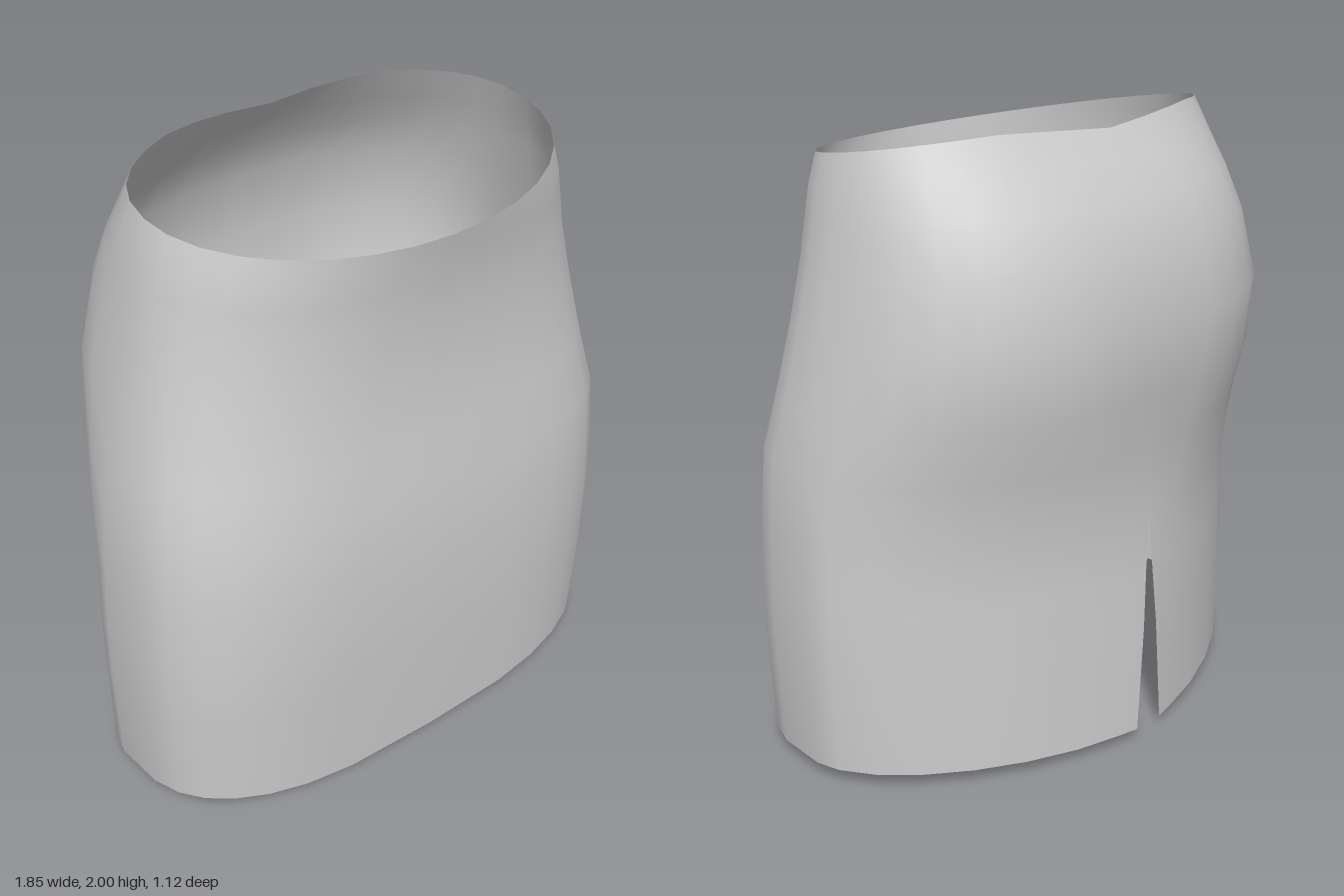
import * as THREE from 'three';
import { mergeVertices } from 'three/addons/utils/BufferGeometryUtils.js';

const COLUMNS = 32;
const SLIT_TOP = 0.8;

// Cross-sections from waist to hem:
// y, tilt, half width, front z, back z, z of widest point, front roundness, back roundness, back centre dent
const SECTIONS = [
  [1.955, 0.16, 0.70, 0.55, -0.31, 0.08, 2.0, 2.25, 0],
  [1.85, 0.10, 0.73, 0.535, -0.375, 0.08, 2.1, 2.35, 0],
  [1.76, 0.06, 0.75, 0.525, -0.445, 0.075, 2.15, 2.4, 0],
  [1.63, 0.03, 0.775, 0.51, -0.515, 0.07, 2.25, 2.45, 0],
  [1.42, 0, 0.82, 0.505, -0.56, 0.06, 2.5, 2.45, 0.005],
  [1.2, 0, 0.865, 0.52, -0.55, 0.06, 2.8, 2.15, 0.02],
  [1.02, 0, 0.90, 0.545, -0.525, 0.06, 3.1, 1.85, 0.03],
  [SLIT_TOP, 0, 0.915, 0.56, -0.50, 0.06, 3.15, 1.7, 0],
  [0.6, 0, 0.925, 0.56, -0.505, 0.06, 3.2, 1.65, 0],
  [0.4, 0, 0.925, 0.56, -0.515, 0.06, 3.2, 1.65, 0],
  [0.055, 0, 0.915, 0.54, -0.52, 0.06, 3.2, 1.65, 0],
];

const power = (v, e) => Math.sign(v) * Math.abs(v) ** e;

// One point on a section; the loop starts and ends at the back centre
function sectionPoint(row, col) {
  const [y, tilt, w, front, back, mid, nFront, nBack, dent] = SECTIONS[row];
  const a = (col / COLUMNS) * Math.PI * 2;
  const s = col % (COLUMNS / 2) === 0 ? 0 : Math.sin(a);
  const c = -Math.cos(a);
  const e = 2 / (c > 0 ? nFront : nBack);
  let x = w * power(s, e);
  let z = mid + (c > 0 ? front - mid : mid - back) * power(c, e);
  let py = y - tilt * z;

  if (c < 0) z += dent * Math.exp(-((x / 0.12) ** 2));
  // waistband dips at the back centre
  if (row === 0 && c < 0) py -= 0.035 * Math.max(0, 1 - Math.abs(x) / 0.4);
  // hem drops a little at the front and back
  if (row === SECTIONS.length - 1) py -= z > 0 ? 0.055 * (z / front) ** 8 : 0.015 * (z / back) ** 4;
  // back slit opens towards the hem
  if (y < SLIT_TOP && (col === 0 || col === COLUMNS)) {
    x = (col === 0 ? 1 : -1) * 0.06 * (1 - y / SLIT_TOP);
  }
  return [x, py, z];
}

function skirtGeometry() {
  const positions = [];
  const indices = [];
  const stride = COLUMNS + 1;
  for (let r = 0; r < SECTIONS.length; r++) {
    for (let c = 0; c <= COLUMNS; c++) {
      positions.push(...sectionPoint(r, c));
      if (r === 0 || c === 0) continue;
      const d = r * stride + c;
      const b = d - stride;
      indices.push(b - 1, d - 1, b, b, d - 1, d);
    }
  }
  const geometry = new THREE.BufferGeometry();
  geometry.setAttribute('position', new THREE.Float32BufferAttribute(positions, 3));
  geometry.setIndex(indices);
  // close the seam above the slit
  const closed = mergeVertices(geometry, 1e-4);
  closed.computeVertexNormals();
  return closed;
}

export function createModel() {
  const group = new THREE.Group();
  group.name = 'skirt';
  const cloth = new THREE.MeshStandardMaterial({ color: 0xcccccc, side: THREE.DoubleSide });
  cloth.name = 'grey cloth';
  const body = new THREE.Mesh(skirtGeometry(), cloth);
  body.name = 'skirtBody';
  group.add(body);
  return group;
}
